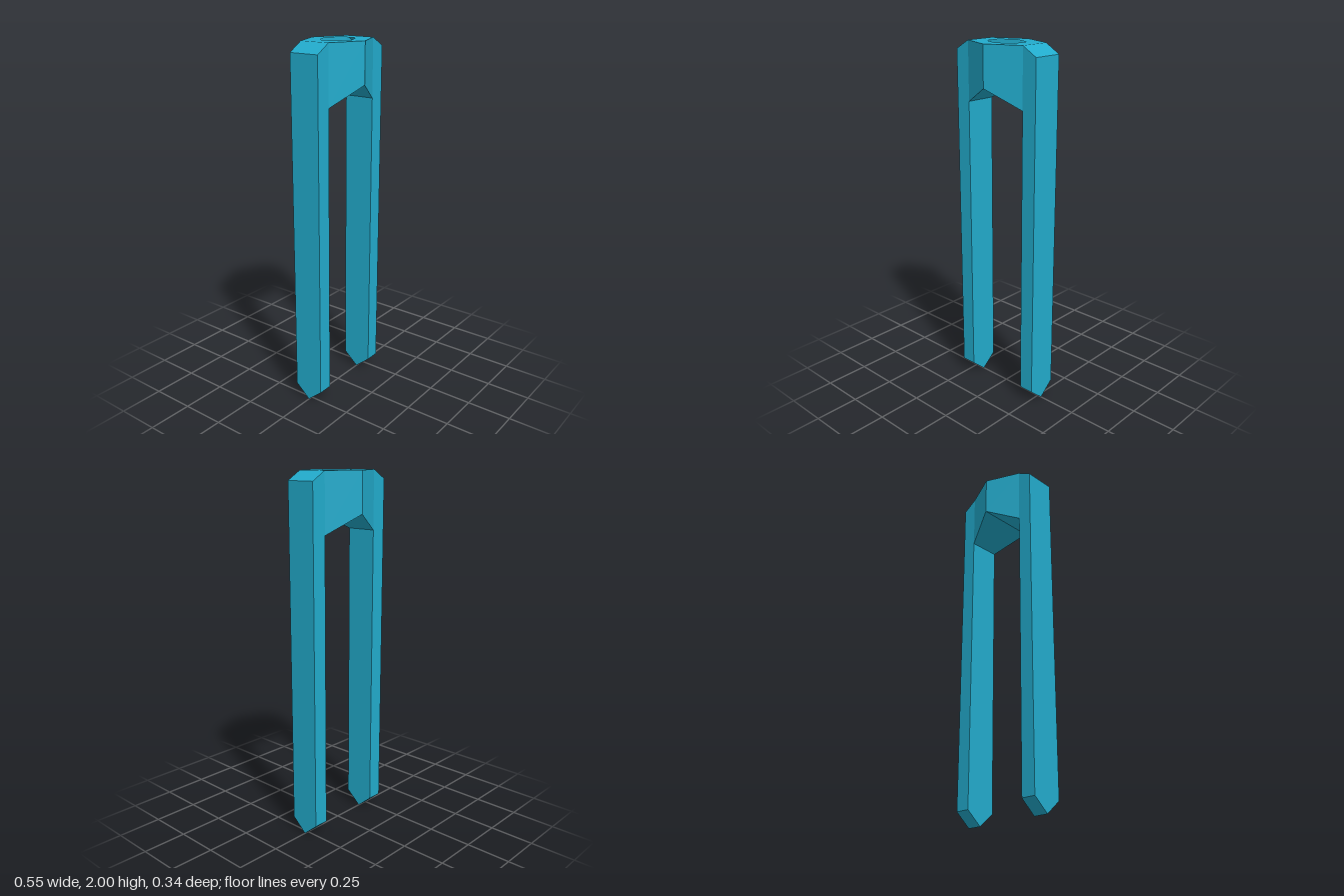
import * as THREE from 'three';

// Key dimensions
const IN = 0.19, OUT = 0.275, Z = 0.0875, PEAK = 0.171;
const TOP = 2, SHOULDER = 1.95, ARCH = 1.78, CROTCH = 1.68, TIP = 0.075;

// Flat convex faces, each a loop of corners, counter-clockwise from outside
function facesGeometry(faces) {
  const pos = [];
  for (const f of faces)
    for (let i = 1; i < f.length - 1; i++) pos.push(...f[0], ...f[i], ...f[i + 1]);
  const g = new THREE.BufferGeometry();
  g.setAttribute('position', new THREE.Float32BufferAttribute(pos, 3));
  g.computeVertexNormals();
  return g;
}

// A face and its mirror image across z = 0
const bothSides = (f) => [f, f.map(([x, y, z]) => [x, y, -z]).reverse()];

export function createModel() {
  const group = new THREE.Group();
  const blue = new THREE.MeshStandardMaterial({ color: 0x22abcc, side: THREE.DoubleSide, flatShading: true });
  blue.name = 'cyanBlue';
  const add = (name, geometry, turn = 0) => {
    const mesh = new THREE.Mesh(geometry, blue);
    mesh.name = name;
    mesh.rotation.y = turn;
    group.add(mesh);
  };

  // Prong: bevelled shoulder, square shaft and wedge tip
  const prong = facesGeometry([
    [[OUT, SHOULDER, Z], [OUT, TIP, Z], [OUT, 0, 0], [OUT, TIP, -Z], [OUT, SHOULDER, -Z]],
    [[IN, CROTCH, -Z], [IN, TIP, -Z], [IN, 0, 0], [IN, TIP, Z], [IN, CROTCH, Z]],
    [[IN, TOP, Z], [OUT, SHOULDER, Z], [OUT, SHOULDER, -Z], [IN, TOP, -Z]],
    ...bothSides([[IN, TIP, Z], [OUT, TIP, Z], [OUT, SHOULDER, Z], [IN, TOP, Z]]),
    ...bothSides([[IN, 0, 0], [OUT, 0, 0], [OUT, TIP, Z], [IN, TIP, Z]]),
  ]);

  // Half of the hollow head: slanted walls and arched underside
  const headHalf = facesGeometry([
    ...bothSides([[0, ARCH, PEAK], [IN, CROTCH, Z], [IN, TOP, Z], [0, TOP, PEAK]]),
    [[0, ARCH, -PEAK], [IN, CROTCH, -Z], [IN, CROTCH, Z], [0, ARCH, PEAK]],
  ]);

  [['left', 0], ['right', Math.PI]].forEach(([side, turn]) => {
    add(side + 'Prong', prong, turn);
    add(side + 'HeadHalf', headHalf, turn);
  });

  // Top plate with a hexagonal opening into the head
  const hexagon = (w, d, peak) => [[w, -d], [w, d], [0, peak], [-w, d], [-w, -d], [0, -peak]]
    .map(([x, y]) => new THREE.Vector2(x, y));
  const plate = new THREE.Shape(hexagon(IN, Z, PEAK));
  plate.holes.push(new THREE.Path(hexagon(0.095, 0.045, 0.088)));
  add('topPlate', new THREE.ShapeGeometry(plate).rotateX(-Math.PI / 2).translate(0, TOP, 0));

  return group;
}
